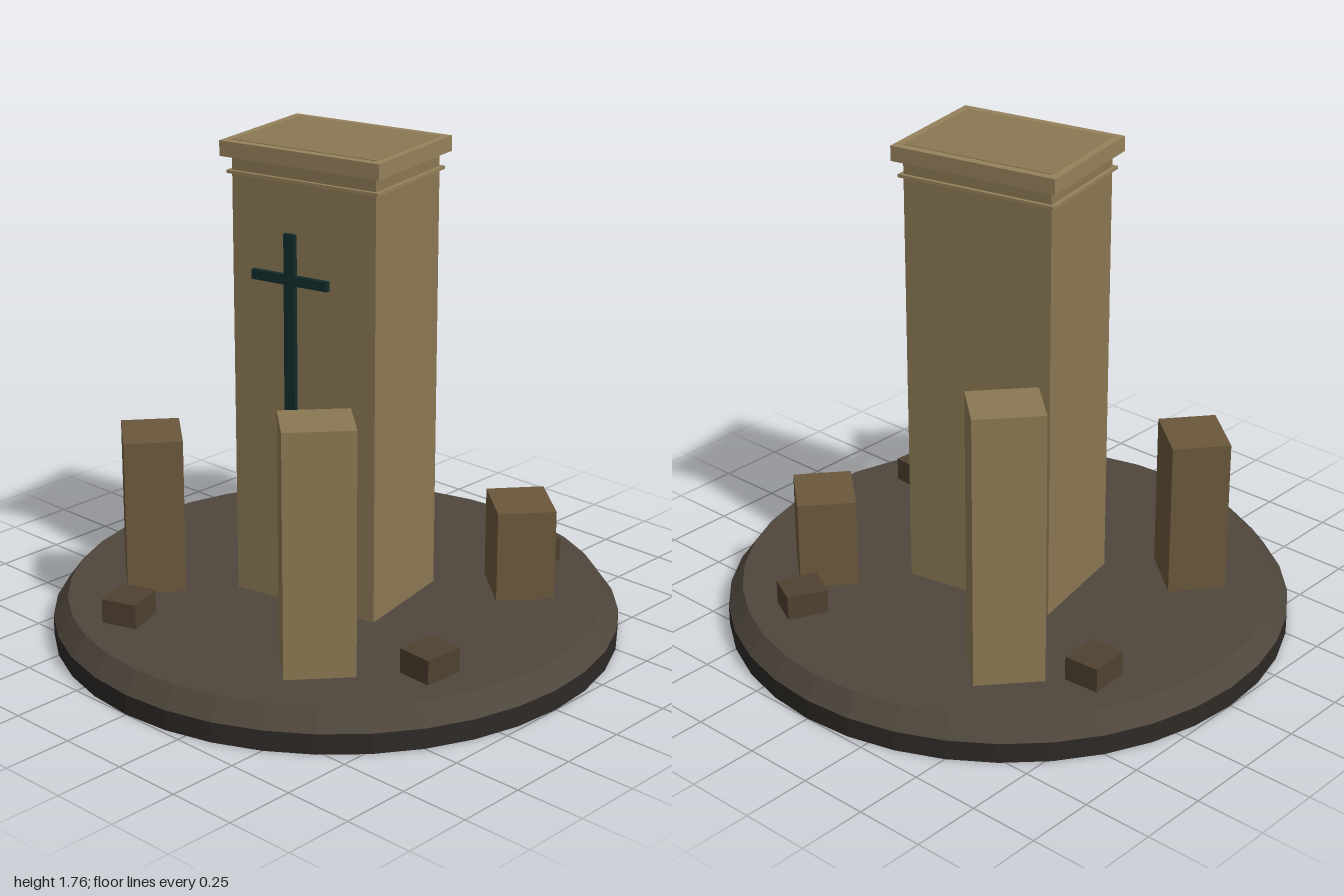
import * as THREE from 'three';

const material = (color) => new THREE.MeshStandardMaterial({ color, flatShading: true });
const stone = material(0x8b7853);
const trim = material(0x95825c);
const darkStone = material(0x6a583c);
const rubble = material(0x4f4130);
const slab = material(0x4f473d);
const rim = material(0x2e2a26);
const iron = material(0x122c2c);

export function createModel() {
  const model = new THREE.Group();
  model.name = 'towerMonument';

  function add(parent, name, geometry, mat, x, y, z, turn = 0) {
    const mesh = new THREE.Mesh(geometry, mat);
    mesh.name = name;
    mesh.position.set(x, y, z);
    mesh.rotation.y = turn;
    parent.add(mesh);
    return mesh;
  }
  // Box placed by its bottom and top heights
  function block(parent, name, mat, w, d, bottom, top, x = 0, z = 0, turn = 0) {
    const geometry = new THREE.BoxGeometry(w, top - bottom, d);
    return add(parent, name, geometry, mat, x, (bottom + top) / 2, z, turn);
  }

  // Round base: dark rim below a bevelled slab
  const baseTop = 0.143;
  add(model, 'baseRim', new THREE.CylinderGeometry(1, 1, 0.072, 36), rim, 0, 0.036, 0);
  add(model, 'baseSlab', new THREE.CylinderGeometry(0.948, 1, baseTop - 0.072, 36), slab, 0, (baseTop + 0.072) / 2, 0);

  // Tower, turned slightly, with a thin moulding and an overhanging cap
  const tower = new THREE.Group();
  tower.name = 'tower';
  tower.rotation.y = 0.2;
  model.add(tower);
  block(tower, 'towerShaft', stone, 0.56, 0.41, baseTop - 0.01, 1.72);
  block(tower, 'towerMoulding', trim, 0.588, 0.436, 1.65, 1.661);
  block(tower, 'towerCap', trim, 0.618, 0.472, 1.71, 1.763);
  block(tower, 'capPanel', stone, 0.56, 0.41, 1.75, 1.765);

  // Cross on the front face
  const cross = new THREE.Group();
  cross.name = 'cross';
  cross.position.set(-0.046, 0, 0.214);
  tower.add(cross);
  block(cross, 'crossUpright', iron, 0.042, 0.017, 0.53, 1.475);
  block(cross, 'crossBar', iron, 0.298, 0.018, 1.3, 1.334);

  // Four standing pillars: x, z, width, depth, top, turn, material
  [
    [-0.427, -0.49, 0.208, 0.24, 1.12, -0.72, stone],
    [0.4, 0.51, 0.208, 0.24, 1.0, -0.72, stone],
    [-0.5, 0.41, 0.24, 0.205, 0.705, -0.69, darkStone],
    [0.48, -0.435, 0.24, 0.205, 0.47, -0.7, darkStone],
  ].forEach(([x, z, w, d, top, turn, mat]) => block(model, 'pillar', mat, w, d, baseTop - 0.01, top, x, z, turn));

  // Small fallen blocks: x, z, turn
  [
    [0.355, -0.675, -0.46],
    [0.705, 0.297, -0.06],
    [-0.685, -0.34, 0.06],
    [-0.32, 0.695, 0.34],
  ].forEach(([x, z, turn]) => block(model, 'rubbleBlock', rubble, 0.13, 0.145, baseTop - 0.01, 0.23, x, z, turn));

  return model;
}
